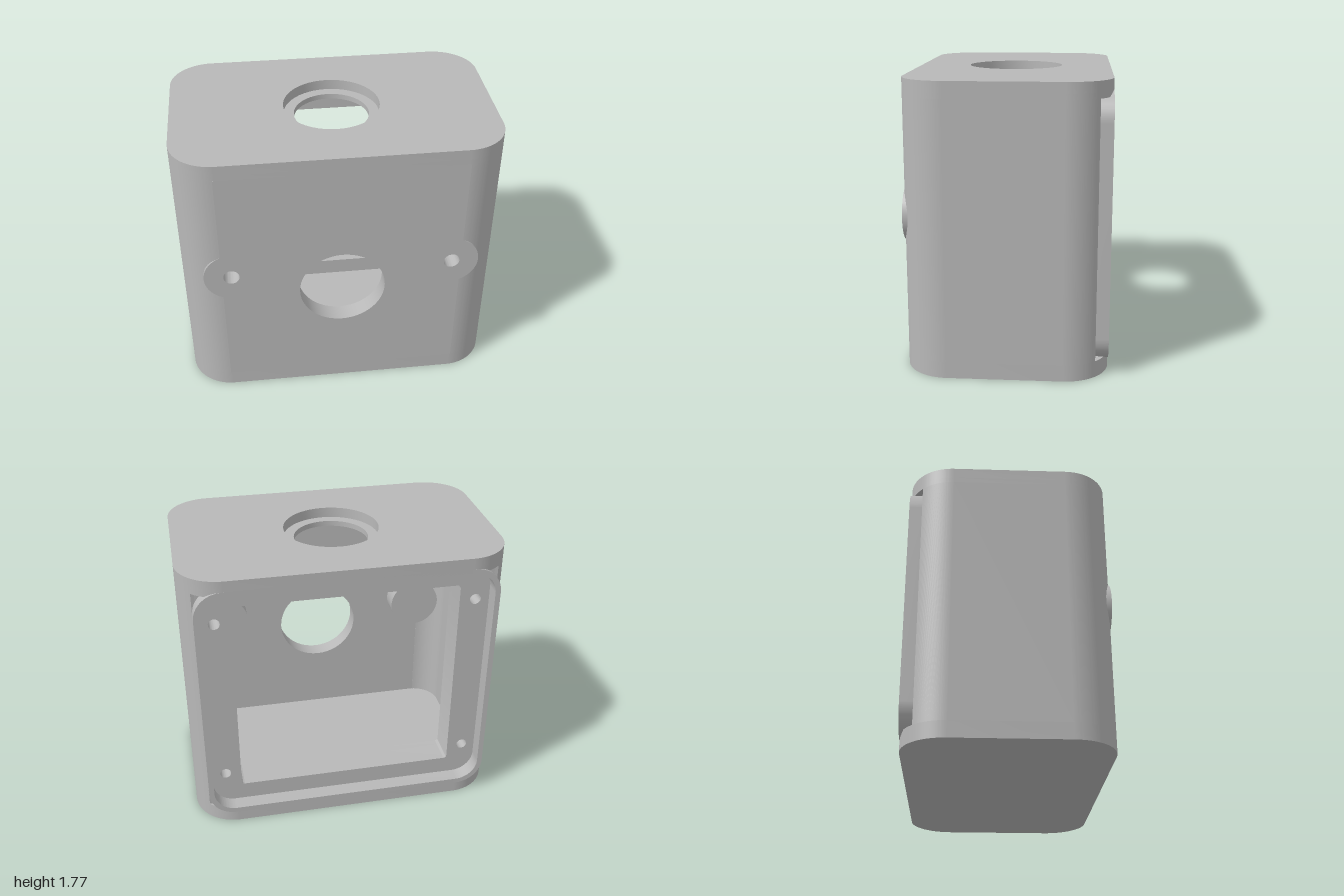
import * as THREE from 'three';
import { toCreasedNormals } from 'three/addons/utils/BufferGeometryUtils.js';

const H = 1.77, MID = H / 2;      // height and mid height
const HD = 0.615, R = 0.27;       // half depth, outer corner radius
const WALL = 0.1;                 // floor, ceiling and side thickness

// Rounded rectangle (or plain one when r = 0) centred on cx, cy
function rect(hw, hh, r = 0, cy = 0, PathType = THREE.Shape) {
  const p = new PathType();
  if (r === 0) {
    p.moveTo(-hw, cy - hh);
    p.lineTo(hw, cy - hh);
    p.lineTo(hw, cy + hh);
    p.lineTo(-hw, cy + hh);
  } else {
    p.moveTo(-hw + r, cy - hh);
    p.absarc(hw - r, cy - hh + r, r, -Math.PI / 2, 0);
    p.absarc(hw - r, cy + hh - r, r, 0, Math.PI / 2);
    p.absarc(-hw + r, cy + hh - r, r, Math.PI / 2, Math.PI);
    p.absarc(-hw + r, cy - hh + r, r, Math.PI, Math.PI * 1.5);
  }
  p.closePath();
  return p;
}

function circle(x, y, r, PathType = THREE.Path) {
  const p = new PathType();
  p.absarc(x, y, r, 0, Math.PI * 2);
  return p;
}

function extrude(shape, depth, holes = []) {
  shape.holes.push(...holes);
  const g = new THREE.ExtrudeGeometry(shape, { depth, bevelEnabled: false, curveSegments: 24 });
  return toCreasedNormals(g, 0.5);
}

// Outline in x, y pushed from z0 to z1
const alongZ = (shape, z0, z1, holes) => extrude(shape, z1 - z0, holes).translate(0, 0, z0);
// Outline in x, z raised from y0 to y1
const alongY = (shape, y0, y1, holes) =>
  extrude(shape, y1 - y0, holes).rotateX(Math.PI / 2).translate(0, y1, 0);

export function createModel() {
  const model = new THREE.Group();
  model.name = 'enclosure';
  const grey = new THREE.MeshStandardMaterial({ color: 0xb8b8b8 });
  grey.name = 'grey';
  const add = (name, geometry) => {
    const mesh = new THREE.Mesh(geometry, grey);
    mesh.name = name;
    model.add(mesh);
    return mesh;
  };

  // Floor, and ceiling with a counterbored hole
  add('floor', alongY(rect(1, HD, R), 0, WALL));
  add('ceilingLower', alongY(rect(1, HD, R), H - WALL, H - 0.066, [circle(0, 0, 0.235)]));
  add('ceilingUpper', alongY(rect(1, HD, R), H - 0.066, H, [circle(0, 0, 0.3)]));

  // Side walls with rounded front and back corners
  const xc = 1 - R, zc = HD - R, xFront = 0.75, ri = R - WALL;
  const side = new THREE.Shape();
  side.moveTo(xFront, 0.5);
  side.lineTo(0.9, -0.535);
  side.curves.length = 0;
  side.currentPoint.set(xFront, 0.5);
  side.absarc(xc, zc, R, Math.acos((xFront - xc) / R), 0, true);
  side.absarc(xc, -zc, R, 0, -Math.acos((0.92 - xc) / R), true);
  side.lineTo(0.9, -0.535);
  side.absarc(0.9 - ri, 0.5 - ri, ri, 0, Math.acos((xFront - xc) / ri), false);
  side.closePath();
  const sideGeometry = alongY(side, WALL, H - WALL);
  add('leftWall', sideGeometry);
  const rightWall = add('rightWall', sideGeometry);
  rightWall.rotation.z = Math.PI;
  rightWall.position.y = H;

  // Front wall with the round port and two screw holes
  const bossX = 0.69, bossY = 0.945;
  add('frontWall', alongZ(rect(xFront, MID - WALL, 0, MID), 0.5, HD, [
    circle(0, 0.79, 0.27), circle(bossX, bossY, 0.05), circle(-bossX, bossY, 0.05),
  ]));

  // Screw bosses, closed on the inside
  for (const s of [1, -1]) {
    const name = s > 0 ? 'leftBoss' : 'rightBoss';
    add(name, alongZ(circle(s * bossX, bossY, 0.17, THREE.Shape), 0.42, HD,
      [circle(s * bossX, bossY, 0.05)]));
    add(name + 'Cap', alongZ(circle(s * bossX, bossY, 0.17, THREE.Shape), 0.37, 0.42));
  }

  // Back flange with a rectangular opening and blind screw holes
  const opening = () => rect(0.7, 0.665, 0.02, MID, THREE.Path);
  const screwHoles = [];
  for (const x of [-0.8, 0.8]) for (const dy of [-0.56, 0.56]) {
    screwHoles.push(circle(x, MID + dy, 0.035));
  }
  add('backFlange', alongZ(rect(0.9, MID - WALL, 0, MID), -0.52, -0.37, [opening(), ...screwHoles]));
  add('backFlangeInner', alongZ(rect(0.9, MID - WALL, 0, MID), -0.37, -0.32, [opening()]));

  // Raised rim around the back recess
  const recess = () => rect(0.887, 0.782, 0.14, MID, THREE.Path);
  add('rimBase', alongZ(rect(0.92, 0.815, 0, MID), -0.535, -0.52, [recess()]));
  add('backRim', alongZ(rect(0.92, 0.815, 0.17, MID), -HD, -0.52, [recess()]));
  return model;
}
